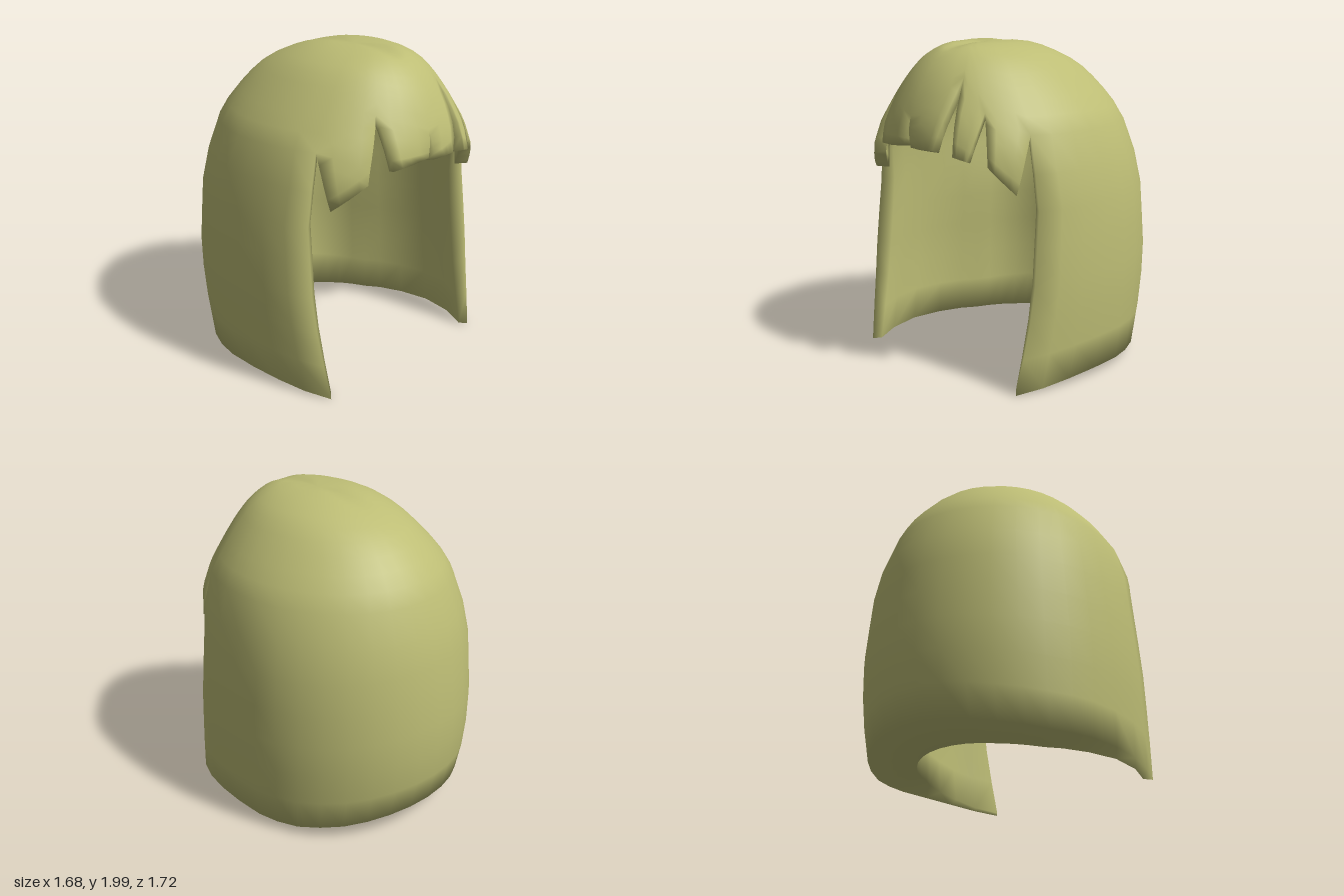
import * as THREE from 'three';
import { mergeVertices } from 'three/addons/utils/BufferGeometryUtils.js';

// Level sections: height, half width, front z, back z, front squareness (1 = ellipse)
const SECTIONS = [
  [2.0, 0, 0.2, 0.2, 1], [1.99, 0.17, 0.45, 0, 1], [1.97, 0.24, 0.54, -0.1, 1],
  [1.9, 0.39, 0.64, -0.29, 1], [1.85, 0.445, 0.69, -0.41, 1], [1.75, 0.54, 0.76, -0.53, 1],
  [1.6, 0.66, 0.83, -0.66, 0.97], [1.5, 0.72, 0.858, -0.71, 0.9], [1.35, 0.765, 0.87, -0.77, 0.8],
  [1.1, 0.815, 0.885, -0.82, 0.86], [0.65, 0.843, 0.93, -0.86, 0.86], [0.37, 0.835, 0.97, -0.84, 0.86],
  [0.15, 0.815, 1.02, -0.79, 0.86], [0, 0.8, 1.05, -0.76, 0.86],
];
// Height of the lower hem along z
const HEM = [[0.68, 0], [0.25, 0.05], [-0.35, 0.06], [-0.6, 0.095], [-0.79, 0.15]];
// The slit beside the fringe, at its top and at the hem
const SLIT_TOP = THREE.MathUtils.degToRad(58), SLIT_HEM = THREE.MathUtils.degToRad(53);
const { lerp, smoothstep, clamp } = THREE.MathUtils;

// Piecewise lookup in a table with a descending key; depth() spaces the key
function lookup(table, key, col, depth = (k) => -k) {
  let i = 1;
  while (i < table.length - 1 && table[i][0] > key) i++;
  const a = table[i - 1], b = table[i];
  const t = (depth(key) - depth(a[0])) / (depth(b[0]) - depth(a[0]));
  return lerp(a[col], b[col], clamp(t, 0, 1));
}
const rootDepth = (y) => Math.sqrt(Math.max(0, 2 - y));
const section = (y, col) => lookup(SECTIONS, y, col, rootDepth);
const hem = (z) => lookup(HEM, z, 1);
const angleAt = (x, y) =>
  Math.sign(x) * Math.asin((Math.abs(x) / section(y, 1)) ** (1 / section(y, 4)));

// Outer surface at an angle from the front and a height
function outerPoint(angle, y) {
  const c = Math.max(0, y - 1.2) * 0.25;
  const s = Math.sin(angle), cos = Math.cos(angle);
  const power = cos > 0 ? section(y, 4) : 1;
  const reach = section(y, cos > 0 ? 2 : 3) - c;
  const x = section(y, 1) * Math.sign(s) * Math.abs(s) ** power;
  const parting = 0.02 * Math.exp(-((x / 0.06) ** 2)) * smoothstep(y, 1.93, 1.985);
  return new THREE.Vector3(x, y - parting, c + reach * Math.abs(cos) ** power);
}

// Inner surface: outer point pushed inwards, thick at the nape and thin at the crown
function innerPoint(p, angle) {
  const fromFront = Math.acos(Math.cos(angle));
  const nape = 0.23 * smoothstep(fromFront, SLIT_TOP, 1.95) * (1 - smoothstep(p.y, 0.9, 1.95));
  const lip = 0.035 * Math.sin(Math.PI * clamp((1.5 - p.y) / 1.5, 0, 1));
  const lift = Math.max(0, p.y - 1.1);
  const n = new THREE.Vector3(p.x, lift * 0.9, p.z - lift * 0.22).normalize();
  return p.clone().addScaledVector(n, -0.06 - nape - lip);
}

// One lock: columns run from the crown to a root line, then on to the tip
function addLock(out, { rootL, rootR, tip, cols, upper, lower }) {
  const outer = [], inner = [];
  for (let i = 0; i <= cols; i++) {
    const u = i / cols;
    const rootA = lerp(rootL[0], rootR[0], u), rootY = lerp(rootL[1], rootR[1], u);
    const [tipA, tipY] = tip(u);
    const o = [], n = [];
    for (let j = 0; j <= upper + lower; j++) {
      const v = Math.max(0, (j - upper) / lower);
      const k = Math.min(1, j / upper);
      const y = v > 0 ? lerp(rootY, tipY, v) : 2 - (2 - rootY) * k * k;
      const angle = lerp(rootA, tipA, v);
      const p = outerPoint(angle, y), q = innerPoint(p, angle);
      if (tipY < 0.5) q.y += (hem(q.z) - hem(p.z)) * v ** 6;
      o.push(p);
      n.push(q);
    }
    outer.push(o);
    inner.push(n);
  }
  const quad = (a, b, c, d) => {
    for (const p of [a, b, c, a, c, d]) out.push(p.x, p.y, p.z);
  };
  const rows = upper + lower;
  for (let i = 0; i < cols; i++) {
    for (let j = 0; j < rows; j++) {
      quad(outer[i][j], outer[i][j + 1], outer[i + 1][j + 1], outer[i + 1][j]);
      quad(inner[i][j], inner[i + 1][j], inner[i + 1][j + 1], inner[i][j + 1]);
    }
    quad(outer[i][rows], inner[i][rows], inner[i + 1][rows], outer[i + 1][rows]);
  }
  // Cut edges below the root line
  for (let j = upper; j < rows; j++) {
    quad(outer[0][j], inner[0][j], inner[0][j + 1], outer[0][j + 1]);
    quad(outer[cols][j], outer[cols][j + 1], inner[cols][j + 1], inner[cols][j]);
  }
}

export function createModel() {
  const group = new THREE.Group();
  const positions = [];

  // Fringe: notch tops between locks, and the two tip corners of each lock (x, y)
  const notches = [[-0.32, 1.69], [-0.03, 1.58], [0.23, 1.81], [0.41, 1.62]];
  const tips = [
    [[-0.62, 1.18], [-0.46, 1.33]],
    [[-0.31, 1.39], [-0.06, 1.42]],
    [[0.0, 1.4], [0.175, 1.4]],
    [[0.31, 1.375], [0.395, 1.355]],
    [[0.5, 1.33], [0.62, 1.17]],
  ];
  const roots = [[-SLIT_TOP, 1.5], ...notches.map(([x, y]) => [angleAt(x, y), y]), [SLIT_TOP, 1.5]];
  tips.forEach(([l, r], i) => {
    const a = angleAt(...l), b = angleAt(...r);
    addLock(positions, {
      rootL: roots[i], rootR: roots[i + 1], cols: 4, upper: 10, lower: 5,
      tip: (u) => [lerp(a, b, u), lerp(l[1], r[1], u)],
    });
  });

  // Sides and back: one wide sheet round to the other slit
  const turn = 2 * Math.PI;
  addLock(positions, {
    rootL: [SLIT_TOP, 1.5], rootR: [turn - SLIT_TOP, 1.5], cols: 24, upper: 10, lower: 7,
    tip: (u) => {
      const angle = lerp(SLIT_HEM, turn - SLIT_HEM, u);
      return [angle, hem(outerPoint(angle, 0.1).z)];
    },
  });

  let geometry = new THREE.BufferGeometry();
  geometry.setAttribute('position', new THREE.Float32BufferAttribute(positions, 3));
  geometry = mergeVertices(geometry, 1e-4);
  geometry.computeVertexNormals();
  const hair = new THREE.Mesh(geometry, new THREE.MeshStandardMaterial({ color: 0xbdbd75 }));
  hair.name = 'bobHairWithFringe';
  group.add(hair);
  return group;
}
